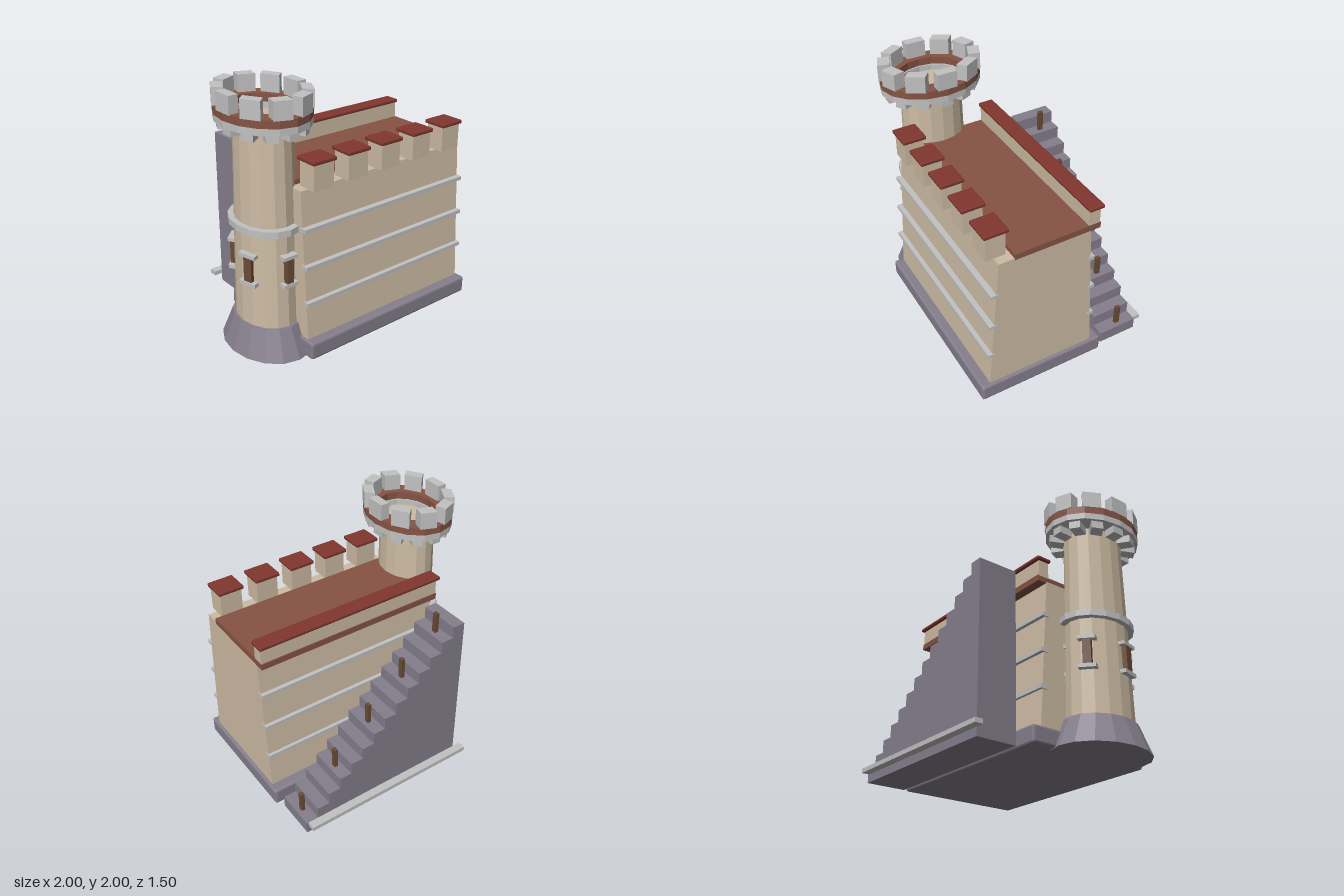
import * as THREE from 'three';
import { RoundedBoxGeometry } from 'three/addons/geometries/RoundedBoxGeometry.js';

const mat = (name, color) => {
  const m = new THREE.MeshStandardMaterial({ color, flatShading: true });
  m.name = name;
  return m;
};

export function createModel() {
  const plaster = mat('tan plaster', 0xcdbca4);
  const slate = mat('purple slate', 0x857f8d);
  const stone = mat('light stone', 0xc3c2c2);
  const clay = mat('brown clay', 0x865444);
  const tile = mat('red tile', 0x80362f);
  const wood = mat('dark wood', 0x6b4c36);

  const root = new THREE.Group();
  root.name = 'castleWall';

  const add = (parent, name, geometry, material) => {
    const mesh = new THREE.Mesh(geometry, material);
    mesh.name = name;
    parent.add(mesh);
    return mesh;
  };
  // Box given by its limits on each axis, with an optional bevel
  const block = (parent, name, material, [x0, x1], [y0, y1], [z0, z1], bevel = 0) => {
    const size = [x1 - x0, y1 - y0, z1 - z0];
    const geo = bevel ? new RoundedBoxGeometry(...size, 1, bevel) : new THREE.BoxGeometry(...size);
    const mesh = add(parent, name, geo, material);
    mesh.position.set((x0 + x1) / 2, (y0 + y1) / 2, (z0 + z1) / 2);
    return mesh;
  };
  const outline = (points) => new THREE.Shape(points.map(([a, b]) => new THREE.Vector2(a, b)));

  // ---- Wall: plinth and battered body ----
  block(root, 'plinth', slate, [-0.62, 1], [0.005, 0.14], [-0.31, 0.745], 0.016);
  const section = outline([[-0.67, 0.13], [0.225, 0.13], [0.15, 1.3], [-0.592, 1.3]]);
  const body = new THREE.ExtrudeGeometry(section, { depth: 1.575, bevelEnabled: false });
  body.rotateY(Math.PI / 2);
  add(root, 'wallBody', body, plaster).position.x = -0.6;

  // String courses on the front and back faces
  for (const [y, front, back] of [[0.437, 0.685, -0.23], [0.725, 0.67, -0.217], [1.015, 0.655, -0.2]]) {
    block(root, 'frontCourse', stone, [-0.61, 0.98], [y - 0.015, y + 0.015], [front - 0.06, front]);
    block(root, 'backCourse', stone, [-0.61, 0.98], [y - 0.015, y + 0.015], [back, back + 0.06]);
  }

  // ---- Walkway, back parapet and front merlons ----
  block(root, 'walkway', clay, [-0.6, 0.978], [1.287, 1.336], [-0.228, 0.468]);
  block(root, 'backParapet', plaster, [-0.6, 0.975], [1.33, 1.468], [-0.22, -0.13]);
  block(root, 'parapetCap', tile, [-0.62, 0.99], [1.462, 1.49], [-0.245, -0.12], 0.008);
  for (let i = 0; i < 5; i++) {
    const x = -0.445 + i * 0.315;
    block(root, 'merlon', plaster, [x - 0.09, x + 0.09], [1.3, 1.5], [0.5, 0.655]);
    block(root, 'merlonCap', tile, [x - 0.105, x + 0.105], [1.495, 1.525], [0.48, 0.672], 0.008);
  }

  // ---- Stairs: one solid stepped block rising towards -x ----
  const steps = 14, run = 1.44 / steps, rise = 1.36 / steps;
  const profile = [[-0.49, 0], [0.95, 0]];
  for (let i = 0; i < steps; i++) {
    profile.push([0.95 - i * run, (i + 1) * rise], [0.95 - (i + 1) * run, (i + 1) * rise]);
  }
  const stairs = new THREE.ExtrudeGeometry(outline(profile), { depth: 0.33, bevelEnabled: false });
  add(root, 'stairs', stairs, slate).position.z = -0.687;
  for (let i = 0; i < steps; i += 3) {
    const x = 0.95 - (i + 0.5) * run, y = (i + 1) * rise;
    block(root, 'stairPost', wood, [x - 0.015, x + 0.015], [y - 0.01, y + 0.167], [-0.56, -0.522]);
  }
  block(root, 'stairRail', stone, [-0.56, 0.935], [0.065, 0.1], [-0.752, -0.687]);

  // ---- Round tower, squashed to an oval plan ----
  const tower = new THREE.Group();
  tower.name = 'tower';
  tower.position.set(-0.68, 0, 0.268);
  tower.scale.x = 0.79;
  root.add(tower);
  const SIDES = 16;
  const drum = (name, material, rTop, rBottom, y0, y1) => {
    const mesh = add(tower, name, new THREE.CylinderGeometry(rTop, rBottom, y1 - y0, SIDES), material);
    mesh.position.y = (y0 + y1) / 2;
  };
  const ring = (name, material, rIn, rOut, y0, y1) => {
    const loop = [[rOut, y0], [rOut, y1], [rIn, y1], [rIn, y0], [rOut, y0]];
    add(tower, name, new THREE.LatheGeometry(loop.map(([r, y]) => new THREE.Vector2(r, y)), SIDES), material);
  };
  drum('towerBase', slate, 0.304, 0.405, 0, 0.23);
  drum('towerShaft', plaster, 0.247, 0.28, 0.2, 1.765);
  drum('towerBand', stone, 0.316, 0.316, 0.98, 1.03);
  ring('stoneRing', stone, 0.246, 0.405, 1.76, 1.81);
  ring('clayRing', clay, 0.262, 0.405, 1.81, 1.87);

  // Blocks spaced around the tower; depth is radial, width is tangential
  const around = (name, count, start, build) => {
    for (let i = 0; i < count; i++) {
      const holder = new THREE.Group();
      holder.name = name;
      holder.rotation.y = start + (i / count) * Math.PI * 2;
      tower.add(holder);
      build(holder);
    }
  };
  const radial = (holder, name, material, r, depth, width, y) =>
    block(holder, name, material, [-width / 2, width / 2], y, [r - depth / 2, r + depth / 2]);

  around('towerMerlon', 10, Math.PI / 2, (h) => {
    radial(h, 'merlonBlock', stone, 0.357, 0.096, 0.16, [1.865, 2]);
  });
  around('corbel', 12, 0, (h) => {
    radial(h, 'corbelBlock', stone, 0.31, 0.12, 0.1, [1.7, 1.765]);
  });
  around('window', 5, 0, (h) => {
    radial(h, 'shutter', wood, 0.281, 0.05, 0.072, [0.59, 0.8]);
    radial(h, 'sill', stone, 0.283, 0.065, 0.15, [0.57, 0.6]);
    radial(h, 'lintel', stone, 0.283, 0.065, 0.15, [0.795, 0.822]);
  });

  return root;
}
